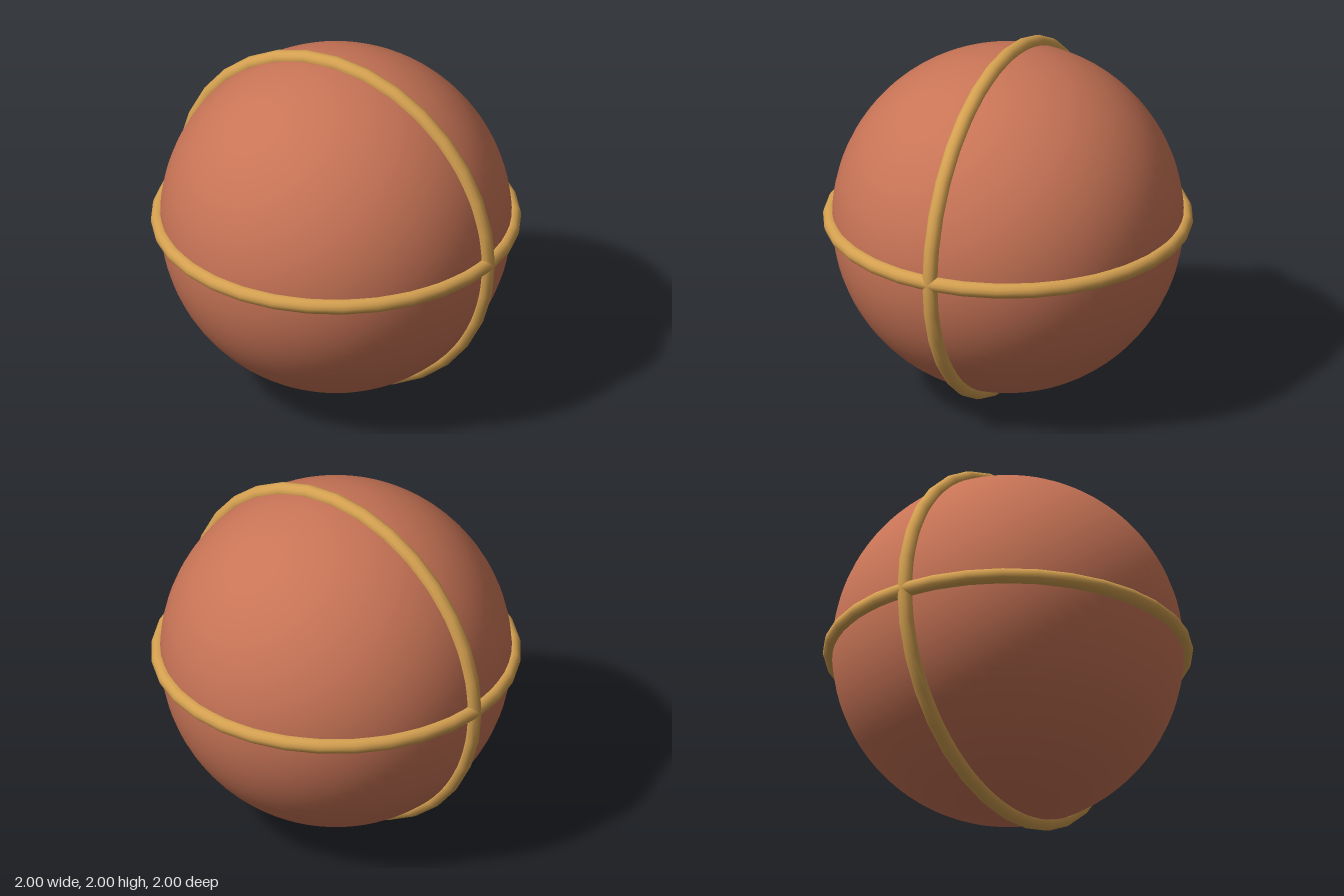
import * as THREE from 'three';

const RADIUS = 0.95; // ball
const TUBE = 0.042; // ring thickness

export function createModel() {
  const model = new THREE.Group();
  model.name = 'bandedBall';

  // Smooth ball
  const ball = new THREE.Mesh(
    new THREE.SphereGeometry(RADIUS, 64, 48),
    new THREE.MeshStandardMaterial({ color: 0xc87456 })
  );
  ball.name = 'ball';
  ball.position.y = 1;
  model.add(ball);

  // Two crossing rings that meet on the left and right sides
  const ringMaterial = new THREE.MeshStandardMaterial({ color: 0xd4a050 });
  const ringGeometry = new THREE.TorusGeometry(1 - TUBE, TUBE, 12, 32);
  for (const [name, tilt] of [['uprightRing', 0], ['levelRing', Math.PI / 2]]) {
    const ring = new THREE.Mesh(ringGeometry, ringMaterial);
    ring.name = name;
    ring.position.y = 1;
    ring.rotation.x = tilt;
    model.add(ring);
  }

  return model;
}
